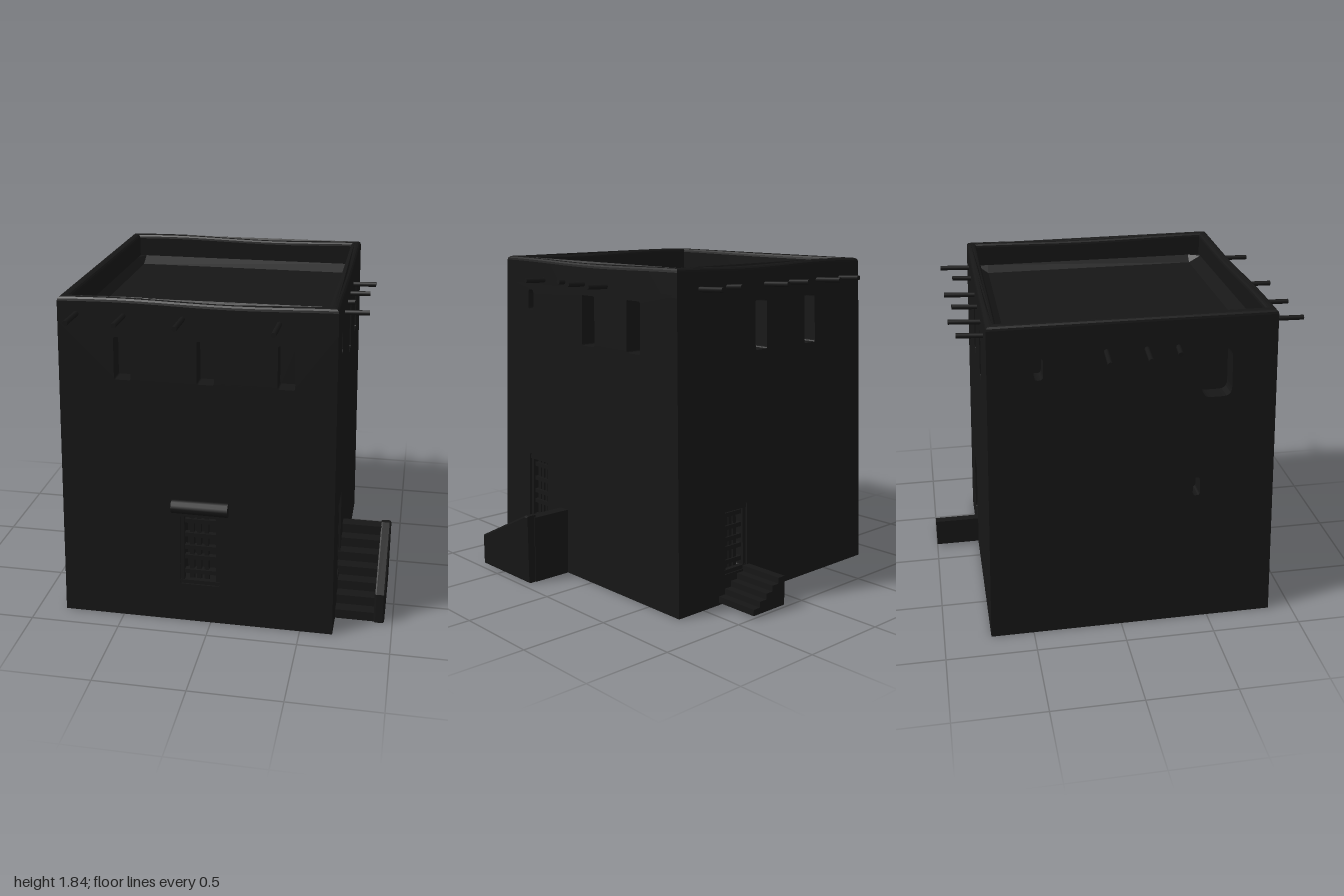
import * as THREE from 'three';

const H = 1.83, WALL_TOP = 1.7, RIM = 0.06;
const X0 = -0.84, X1 = 0.68, Z0 = -0.74, Z1 = 0.87;
const TAPER_X = 0.046, TAPER_Z = 0.069;
const material = new THREE.MeshStandardMaterial({ color: 0x161616, side: THREE.DoubleSide });

export function createModel() {
  const root = new THREE.Group();

  const add = (geometry, name, parent = root) => {
    const mesh = new THREE.Mesh(geometry, material);
    mesh.name = name;
    parent.add(mesh);
    return mesh;
  };

  const group = (name) => {
    const g = new THREE.Group();
    g.name = name;
    root.add(g);
    return g;
  };

  // Leans every wall inwards towards the top
  const taper = (geometry) => {
    const p = geometry.attributes.position;
    for (let i = 0; i < p.count; i++) {
      const t = p.getY(i) / H;
      p.setX(i, p.getX(i) * (1 - TAPER_X * t));
      p.setZ(i, p.getZ(i) * (1 - TAPER_Z * t));
    }
    geometry.computeVertexNormals();
    return geometry;
  };

  const box = (x0, x1, y0, y1, z0, z1) =>
    new THREE.BoxGeometry(x1 - x0, y1 - y0, z1 - z0)
      .translate((x0 + x1) / 2, (y0 + y1) / 2, (z0 + z1) / 2);

  const roundedShape = (u0, u1, y0, y1, r) => {
    const p = new THREE.Shape();
    p.moveTo(u0 + r, y0);
    p.lineTo(u1 - r, y0);
    p.quadraticCurveTo(u1, y0, u1, y0 + r);
    p.lineTo(u1, y1 - r);
    p.quadraticCurveTo(u1, y1, u1 - r, y1);
    p.lineTo(u0 + r, y1);
    p.quadraticCurveTo(u0, y1, u0, y1 - r);
    p.lineTo(u0, y0 + r);
    p.quadraticCurveTo(u0, y0, u0 + r, y0);
    return p;
  };

  // Strip running inwards around an opening
  const revealStrip = (shape, depth) => {
    const pts = shape.getPoints(5);
    const g = new THREE.PlaneGeometry(1, 1, pts.length - 1, 1);
    pts.forEach((pt, i) => {
      g.attributes.position.setXYZ(i, pt.x, pt.y, 0);
      g.attributes.position.setXYZ(i + pts.length, pt.x, pt.y, -depth);
    });
    return g.toNonIndexed();
  };

  // Hollow walls, each drawn flat as (u, y); openings are [u0, u1, y0, y1, corner radius]
  const walls = [
    { name: 'front', angle: 0, at: [0, Z1], u: [X0, X1], k: TAPER_X,
      windows: [[-0.51, -0.42, 1.4, 1.63, 0.012], [-0.07, 0.02, 1.4, 1.63, 0.012],
        [0.35, 0.44, 1.4, 1.63, 0.012]],
      door: [-0.17, 0.05, 0.23, 0.67, 0.012] },
    { name: 'leftSide', angle: Math.PI / 2, at: [X1, 0], u: [-Z1, -Z0], k: TAPER_Z,
      windows: [[-0.085, 0.025, 1.37, 1.65, 0.012], [0.3, 0.41, 1.37, 1.65, 0.012],
        [-0.6, -0.55, 1.53, 1.65, 0.024]],
      door: [-0.61, -0.42, 0.2, 0.66, 0.012] },
    { name: 'back', angle: Math.PI, at: [0, Z0], u: [-X1, -X0], k: TAPER_X,
      windows: [[-0.08, 0.01, 1.37, 1.64, 0.012], [0.32, 0.41, 1.37, 1.64, 0.012]],
      door: [-0.34, -0.16, 0.16, 0.54, 0.012] },
    { name: 'rightSide', angle: -Math.PI / 2, at: [X0, 0], u: [Z0, Z1], k: TAPER_Z,
      windows: [[-0.46, -0.41, 1.53, 1.65, 0.024], [0.42, 0.58, 1.37, 1.64, 0.05],
        [0.39, 0.43, 0.79, 0.9, 0.018]] },
  ];

  for (const w of walls) {
    const place = (g) => taper(g.rotateY(w.angle).translate(w.at[0], 0, w.at[1]));
    const straighten = ([u0, u1, y0, y1, r]) => {
      const s = 1 - w.k * (y0 + y1) / 2 / H;
      return [u0 / s, u1 / s, y0, y1, r];
    };

    const face = new THREE.Shape([
      new THREE.Vector2(w.u[0], 0), new THREE.Vector2(w.u[1], 0),
      new THREE.Vector2(w.u[1], WALL_TOP), new THREE.Vector2(w.u[0], WALL_TOP),
    ]);
    const addOpening = (opening, depth, name) => {
      const shape = roundedShape(...straighten(opening));
      face.holes.push(shape);
      add(place(revealStrip(shape, depth)), name + 'Reveal');
      add(place(new THREE.ShapeGeometry(shape, 5).translate(0, 0, -depth)), name + 'Back');
    };
    w.windows.forEach((o) => addOpening(o, 0.1, w.name + 'Window'));

    // Door of posts, uprights and uneven rungs in front of a deep recess
    if (w.door) {
      addOpening(w.door, 0.2, w.name + 'DoorRecess');
      const [u0, u1, y0, y1] = straighten(w.door);
      const door = group(w.name + 'Door');
      const bar = (a, b, c, d, front, name) =>
        add(place(box(a, b, c, d, front - 0.03, front)), name, door);
      const f = 0.022, width = u1 - u0, height = y1 - y0;
      bar(u0, u0 + f, y0, y1, -0.012, 'doorPost');
      bar(u1 - f, u1, y0, y1, -0.012, 'doorPost');
      bar(u0, u1, y1 - f * 1.5, y1, -0.008, 'doorHead');
      bar(u0, u1, y0, y0 + f, -0.008, 'doorSill');
      for (const t of [0.27, 0.45, 0.64]) {
        const u = u0 + width * t;
        bar(u - 0.012, u + 0.012, y0, y1, -0.035, 'doorUpright');
      }
      for (let i = 1; i < 6; i++) {
        const y = y0 + height * (i / 6 + 0.02 * Math.sin(i * 4));
        bar(u0 + f, u1 - f, y - 0.012, y + 0.012, -0.025, 'doorRung');
      }
    }
    add(place(new THREE.ShapeGeometry(face, 5)), w.name + 'Wall');
  }

  // Roof floor with a sloping border against the parapet
  const roof = new THREE.PlaneGeometry(1, 1, 3, 3);
  const roofX = [X0 + RIM, -0.74, 0.585, X1 - RIM], roofZ = [Z0 + RIM, -0.61, 0.735, Z1 - RIM];
  for (let j = 0; j < 4; j++) {
    for (let i = 0; i < 4; i++) {
      const inner = i % 3 > 0 && j % 3 > 0;
      roof.attributes.position.setXYZ(j * 4 + i, roofX[i], inner ? 1.66 : 1.7, roofZ[j]);
    }
  }
  add(taper(roof.toNonIndexed()), 'roof');

  // Parapet: bevelled ring with a slightly uneven crest
  const ringPoints = (x0, x1, y0, y1, n = 14) => {
    const corners = [[x0, y0], [x1, y0], [x1, y1], [x0, y1]];
    const pts = [];
    corners.forEach(([ax, ay], c) => {
      const [bx, by] = corners[(c + 1) % 4];
      for (let i = 0; i < n; i++) {
        pts.push(new THREE.Vector2(ax + (bx - ax) * i / n, ay + (by - ay) * i / n));
      }
    });
    return pts;
  };
  const ring = new THREE.Shape(ringPoints(X0, X1, -Z1, -Z0));
  ring.holes.push(new THREE.Path(ringPoints(X0 + RIM, X1 - RIM, -Z1 + RIM, -Z0 - RIM).reverse()));
  const b = 0.022;
  const parapet = new THREE.ExtrudeGeometry(ring, {
    depth: H - 1.665 - 2 * b, bevelThickness: b, bevelSize: b, bevelOffset: -b, bevelSegments: 3,
  }).rotateX(-Math.PI / 2).translate(0, 1.665 + b, 0);
  const pp = parapet.attributes.position;
  for (let i = 0; i < pp.count; i++) {
    if (pp.getY(i) < 1.76) continue;
    pp.setY(i, pp.getY(i) + 0.006 * Math.sin(pp.getX(i) * 5 + 1) * Math.cos(pp.getZ(i) * 4));
  }
  add(taper(parapet), 'parapet');

  // Roof beams poking out through the walls
  const beam = (from, to, r = 0.014) => {
    const a = new THREE.Vector3(...from), c = new THREE.Vector3(...to);
    const mesh = add(new THREE.CylinderGeometry(r, r, a.distanceTo(c), 8), 'roofBeam');
    mesh.position.copy(a).add(c).multiplyScalar(0.5);
    mesh.quaternion.setFromUnitVectors(new THREE.Vector3(0, 1, 0), c.sub(a).normalize());
  };
  for (const [x, end] of [[-0.7, 0.98], [-0.45, 0.98], [-0.14, 0.98], [0.355, 0.99]]) {
    beam([x, 1.745, 0.77], [x - 0.005, 1.743, end]);
  }
  for (const [x, end] of [[-0.63, -0.83], [-0.43, -0.86], [-0.2, -0.83], [0, -0.86], [0.29, -0.8], [0.49, -0.86]]) {
    beam([x, 1.72, -0.65], [x, 1.73, end]);
  }
  for (const [z, end] of [[-0.13, 0.78], [0.07, 0.76], [0.25, 0.69], [0.44, 0.78]]) {
    beam([0.61, 1.71, z], [end, 1.715, z]);
  }
  for (const [z, end] of [[-0.085, -0.96], [0.125, -0.95], [0.29, -0.89]]) {
    beam([-0.77, 1.665, z], [end, 1.655, z - 0.01]);
  }

  // Log lintel over the front door
  const lintel = add(new THREE.CylinderGeometry(0.037, 0.04, 0.31, 12), 'frontLintel');
  lintel.rotation.z = Math.PI / 2;
  lintel.position.set(-0.055, 0.705, 0.858);

  // Side stairs climbing towards the back, with a sloping outer wall
  const stairs = group('sideStairs');
  const steps = 7, run = 0.47 / steps;
  for (let i = 0; i < steps; i++) {
    const z = 0.7 - i * run;
    add(box(0.66, 0.91, 0, 0.055 * (i + 1), z - run, z), 'stairStep', stairs);
  }
  const side = new THREE.Shape([[-0.71, 0], [-0.235, 0], [-0.235, 0.4], [-0.265, 0.4], [-0.71, 0.18]]
    .map(([u, y]) => new THREE.Vector2(u, y)));
  const sideWall = new THREE.ExtrudeGeometry(side, {
    depth: 0.04, bevelThickness: 0.01, bevelSize: 0.01, bevelOffset: -0.01, bevelSegments: 2,
  });
  add(sideWall.rotateY(Math.PI / 2).translate(0.905, 0, 0), 'stairSideWall', stairs);

  // Low plank steps at the back door
  const backSteps = group('backSteps');
  for (let i = 0; i < 5; i++) {
    const x = 0.385 - i * 0.048;
    add(box(x - 0.048, x, 0.015, 0.05 + i * 0.0325, -1, -0.73), 'backStep', backSteps);
  }

  return root;
}
